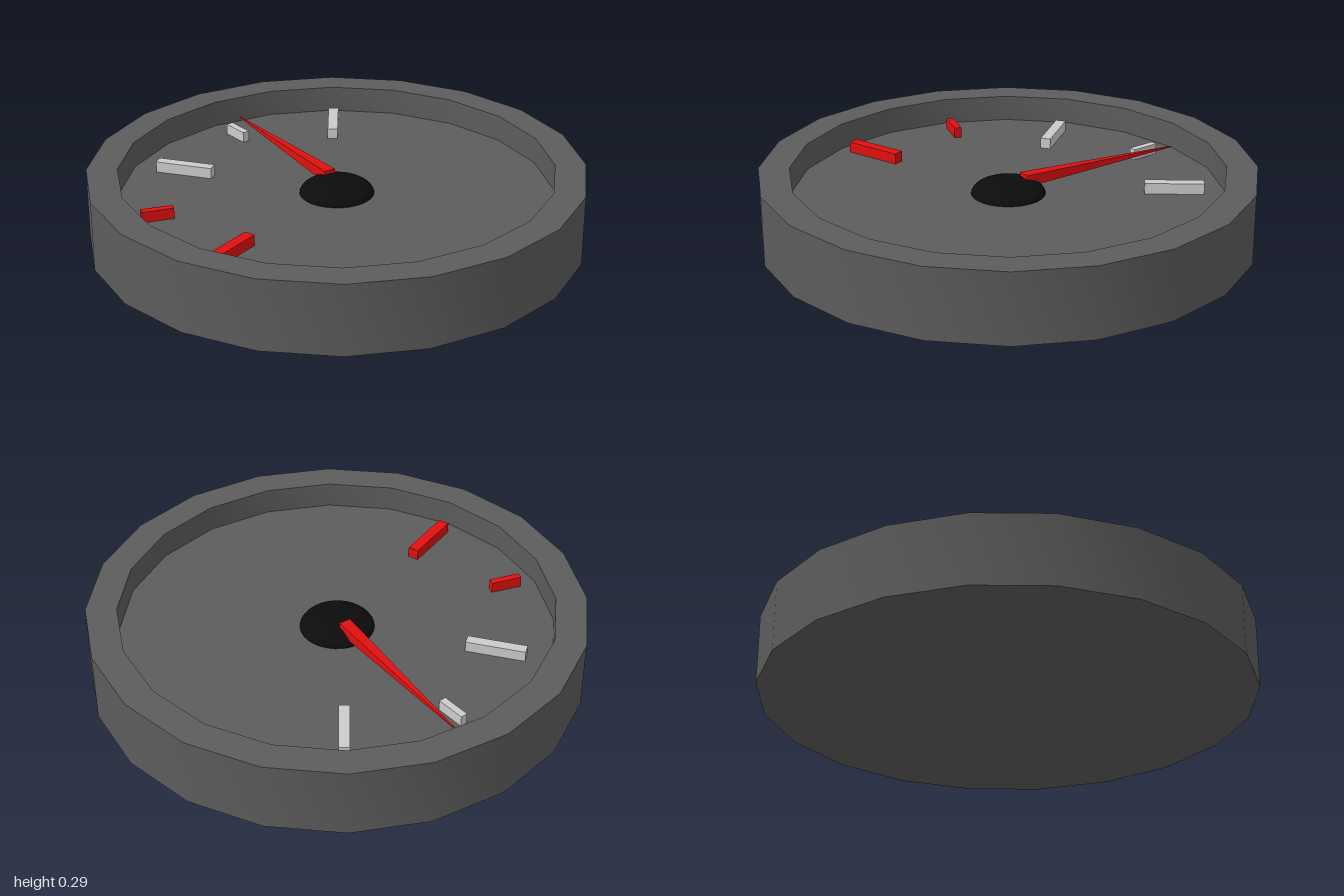
import * as THREE from 'three';
import { toCreasedNormals } from 'three/addons/utils/BufferGeometryUtils.js';

const FLOOR = 0.18;

const material = (color) => new THREE.MeshStandardMaterial({ color });
const bodyMat = material(0x5c5c5c);
const hubMat = material(0x0c0c0c);
const paleMat = material(0xcccccc);
const redMat = material(0xe01010);

function addMesh(parent, name, geometry, mat) {
  const mesh = new THREE.Mesh(geometry, mat);
  mesh.name = name;
  parent.add(mesh);
  return mesh;
}

// Place a part that lies along +x so it runs from one dial point to another
function layBetween(mesh, [x1, z1], [x2, z2], y) {
  mesh.position.set((x1 + x2) / 2, y, (z1 + z2) / 2);
  mesh.rotation.y = -Math.atan2(z2 - z1, x2 - x1);
}

const span = (a, b) => Math.hypot(b[0] - a[0], b[1] - a[1]);

export function createModel() {
  const gauge = new THREE.Group();
  gauge.name = 'gauge';

  // Twenty-sided housing with a raised rim and recessed dial
  const profile = [[0, 0], [1, 0], [1, 0.29], [0.875, 0.29], [0.875, FLOOR], [0, FLOOR]]
    .map(([r, y]) => new THREE.Vector2(r, y));
  addMesh(gauge, 'housing', toCreasedNormals(new THREE.LatheGeometry(profile, 20), 0.6), bodyMat);

  // Shallow dome in the middle
  const dome = new THREE.SphereGeometry(0.15, 32, 10, 0, Math.PI * 2, 0, Math.PI / 2);
  dome.scale(1, 0.06 / 0.15, 1);
  addMesh(gauge, 'hub', dome, hubMat).position.y = FLOOR;

  // Level marks: inner end, outer end, width, material
  const marks = [
    [[-0.173, -0.52], [-0.238, -0.75], 0.043, paleMat],
    [[-0.52, -0.385], [-0.62, -0.455], 0.03, paleMat],
    [[-0.53, 0], [-0.77, 0], 0.043, paleMat],
    [[-0.545, 0.402], [-0.65, 0.476], 0.03, redMat],
    [[-0.182, 0.54], [-0.26, 0.777], 0.045, redMat],
  ];
  const height = 0.045;
  marks.forEach(([inner, outer, width, mat], i) => {
    const bar = new THREE.BoxGeometry(span(inner, outer), height, width);
    layBetween(addMesh(gauge, `levelMark${i + 1}`, bar, mat), inner, outer, FLOOR + height / 2);
  });

  // Needle: a bar whose far end narrows to a point
  const root = [-0.045, -0.05], tip = [-0.6, -0.535];
  const needle = new THREE.BoxGeometry(span(root, tip), 0.05, 0.05);
  const pos = needle.attributes.position;
  for (let i = 0; i < pos.count; i++) {
    if (pos.getX(i) > 0) {
      pos.setY(i, pos.getY(i) * 0.08);
      pos.setZ(i, pos.getZ(i) * 0.08);
    }
  }
  needle.computeVertexNormals();
  layBetween(addMesh(gauge, 'needle', needle, redMat), root, tip, FLOOR + 0.045);

  return gauge;
}
